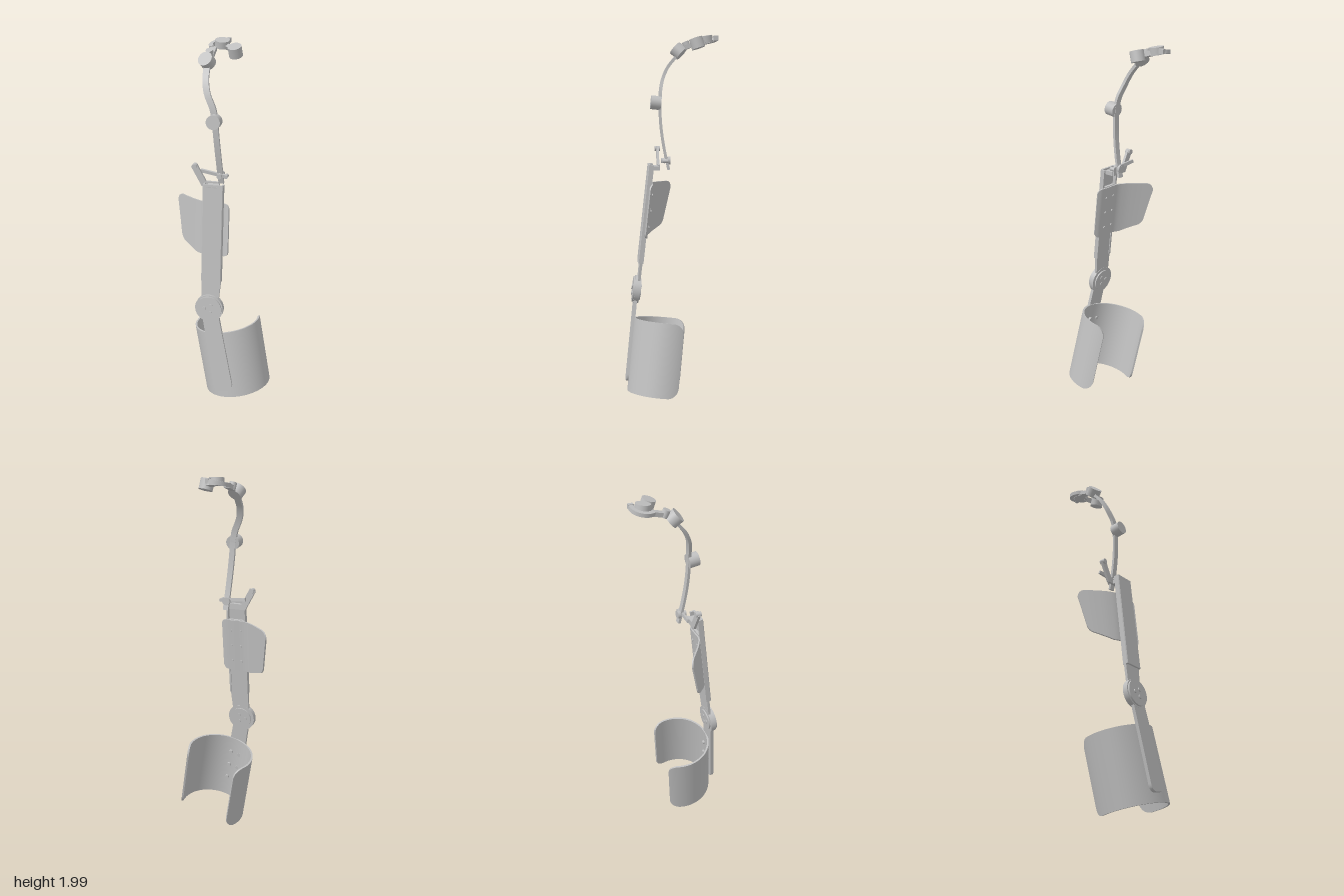
import * as THREE from 'three';

const grey = new THREE.MeshStandardMaterial({ color: 0xbfbfbf });
grey.name = 'light grey';
const V = (x, y, z) => new THREE.Vector3(x, y, z);
const UP = V(0, 1, 0);

function add(parent, name, geo, x = 0, y = 0, z = 0) {
  const m = new THREE.Mesh(geo, grey);
  m.name = name;
  m.position.set(x, y, z);
  parent.add(m);
  return m;
}

// Box bent by a rule: u in 0..1 along it, v and w in -0.5..0.5 across it
function sheet(segs, rule) {
  const g = new THREE.BoxGeometry(1, 1, 1, segs, 1, 1);
  const p = g.attributes.position;
  for (let i = 0; i < p.count; i++) {
    const q = rule(p.getX(i) + 0.5, p.getY(i), p.getZ(i));
    p.setXYZ(i, q.x, q.y, q.z);
  }
  g.computeVertexNormals();
  return g;
}

// Flat bar swept along a curve, its width lying along x
function link(points, width, thick) {
  const c = new THREE.CatmullRomCurve3(points);
  return sheet(20, (u, v, w) => {
    const t = c.getTangentAt(u);
    const side = V(1, 0, 0).addScaledVector(t, -t.x).normalize();
    const n = t.clone().cross(side);
    return c.getPointAt(u).addScaledVector(side, v * width).addScaledVector(n, w * thick);
  });
}

// Round corner: how much an edge draws in at distance d from the end
const inset = (d, r) => (d < r ? r - Math.sqrt(r * r - (r - d) * (r - d)) : 0);

function cylinder(parent, name, r, h, at, axis = UP, sides = 32) {
  const m = add(parent, name, new THREE.CylinderGeometry(r, r, h, sides), at.x, at.y, at.z);
  m.quaternion.setFromUnitVectors(UP, axis.clone().normalize());
  return m;
}

function bar(parent, name, a, b, width, depth) {
  const d = b.clone().sub(a);
  const mid = a.clone().add(b).multiplyScalar(0.5);
  const m = add(parent, name, new THREE.BoxGeometry(width, d.length(), depth), mid.x, mid.y, mid.z);
  m.quaternion.setFromUnitVectors(UP, d.normalize());
  return m;
}

function extrude(shape, depth) {
  return new THREE.ExtrudeGeometry(shape, { depth, bevelEnabled: false, curveSegments: 24 });
}

function buildLower(brace) {
  const lower = new THREE.Group();
  lower.name = 'lowerSection';
  lower.rotation.z = 0.19;
  brace.add(lower);

  // strut with rounded foot
  const s = new THREE.Shape();
  s.moveTo(-0.045, 0).lineTo(-0.053, -0.47);
  s.quadraticCurveTo(-0.053, -0.51, -0.013, -0.51).lineTo(0.013, -0.51);
  s.quadraticCurveTo(0.053, -0.51, 0.053, -0.47).lineTo(0.045, 0);
  add(lower, 'lowerStrut', extrude(s, 0.018), 0, 0, -0.017);

  // open cuff
  const R = 0.181, T = 0.01, H = 0.2, from = -2.27, to = 2.0, r = 0.06;
  const cuff = sheet(72, (u, v, w) => {
    const e = 0.5 - 0.5 * Math.cos(Math.PI * u); // finer steps at the round corners
    const a = from + (to - from) * e;
    const d = R * (to - from) * Math.min(e, 1 - e);
    const rad = R + w * T;
    return V(rad * Math.sin(a), 2 * v * (H - inset(d, r)), rad * Math.cos(a));
  });
  add(lower, 'lowerCuff', cuff, 0.033, -0.358, -0.197);

  // cuff screws
  for (const y of [-0.25, -0.34, -0.43]) {
    for (const x of [-0.025, 0.03]) {
      cylinder(lower, 'cuffScrew', 0.011, 0.012, V(x, y, -0.028), V(0, 0, 1), 12);
    }
  }
}

function buildUpper(brace) {
  // strut sliding in the sleeve
  const s = new THREE.Shape();
  s.moveTo(-0.045, 0).lineTo(-0.048, 0.17).lineTo(-0.038, 0.19).lineTo(-0.038, 0.6);
  s.lineTo(0.052, 0.6).lineTo(0.052, 0.19).lineTo(0.06, 0.17).lineTo(0.045, 0);
  add(brace, 'upperStrut', extrude(s, 0.014), 0, 0, -0.025);

  // channel sleeve, open at the back
  const c = new THREE.Shape();
  [[-0.048, 0.004], [-0.044, 0], [0.058, 0], [0.062, 0.004], [0.062, 0.03], [0.052, 0.03],
    [0.052, 0.01], [-0.038, 0.01], [-0.038, 0.03], [-0.048, 0.03]]
    .forEach(([x, y], i) => (i ? c.lineTo(x, y) : c.moveTo(x, y)));
  add(brace, 'sleeve', extrude(c, 0.545).rotateX(-Math.PI / 2), 0, 0.16, 0);

  // bent side plate
  const path = new THREE.CatmullRomCurve3([V(-0.22, 0, -0.155), V(-0.15, 0, -0.098),
    V(-0.09, 0, -0.056), V(-0.045, 0, -0.036), V(0.03, 0, -0.034), V(0.07, 0, -0.03), V(0.093, 0, -0.02)]);
  const L = path.getLength();
  const plate = sheet(60, (u, v, w) => {
    const e = 0.5 - 0.5 * Math.cos(Math.PI * u);
    const cut = Math.max(inset(e * L, 0.04), inset((1 - e) * L, 0.03));
    const top = 0.6 - cut;
    const bottom = 0.305 + 0.05 * Math.max(0, 1 - e * 2) + cut;
    const slant = v < 0 ? 0.1 * Math.max(0, 1 - e * 2) : 0;
    const k = Math.min(1, e + slant);
    const n = path.getTangentAt(k).cross(UP);
    return path.getPointAt(k).addScaledVector(n, w * 0.008).setY(v > 0 ? top : bottom);
  });
  add(brace, 'sidePlate', plate);
  for (const y of [0.36, 0.45, 0.54]) {
    for (const x of [-0.02, 0.035]) {
      cylinder(brace, 'plateScrew', 0.007, 0.008, V(x, y, -0.039), V(0, 0, 1), 12);
    }
  }
}

function buildJoint(brace) {
  const z = V(0, 0, 1);
  cylinder(brace, 'jointDisc', 0.078, 0.028, V(0, 0, -0.012), z, 48);
  cylinder(brace, 'jointFrontCap', 0.071, 0.01, V(0, 0, 0.006), z, 48);
  cylinder(brace, 'jointBackCap', 0.06, 0.008, V(0, 0, -0.029), z, 48);
  for (let i = 0; i < 3; i++) {
    const a = 1 + (i * 2 * Math.PI) / 3;
    cylinder(brace, 'jointScrew', 0.011, 0.054, V(0.024 * Math.cos(a), 0.024 * Math.sin(a), -0.01), z, 12);
  }
}

function buildBracket(root) {
  const g = new THREE.Group();
  g.name = 'topBracket';
  root.add(g);
  add(g, 'bracketArm', new THREE.BoxGeometry(0.06, 0.022, 0.06), -0.05, 1.288, 0.095);
  add(g, 'bracketFoot', new THREE.BoxGeometry(0.09, 0.03, 0.012), -0.07, 1.292, 0.065);
  bar(g, 'slantBar', V(-0.158, 1.39, 0.065), V(-0.102, 1.285, 0.065), 0.034, 0.014);
  cylinder(g, 'slantBarPin', 0.014, 0.03, V(-0.155, 1.385, 0.065), V(0, 0, 1), 16);
  bar(g, 'crossBar', V(-0.135, 1.345, 0.02), V(0.013, 1.328, 0.035), 0.018, 0.012);
  cylinder(g, 'crossBarPin', 0.014, 0.05, V(-0.028, 1.33, 0.028), V(0, 0, 1), 20);
  cylinder(g, 'crossBarKnob', 0.022, 0.013, V(-0.028, 1.33, 0.01), V(0, 0, 1), 20);
  cylinder(g, 'crossBarEnd', 0.01, 0.03, V(0.008, 1.33, 0.035), V(0, 0, 1), 16);
}

function buildArm(root) {
  const g = new THREE.Group();
  g.name = 'linkedArm';
  root.add(g);
  // two curved links with a hinge between
  add(g, 'firstLink', link([V(-0.025, 1.28, 0.012), V(-0.029, 1.38, 0.034),
    V(-0.036, 1.5, 0.052), V(-0.043, 1.6, 0.058), V(-0.045, 1.65, 0.058)], 0.03, 0.014));
  cylinder(g, 'hinge', 0.037, 0.055, V(-0.045, 1.64, 0.08), V(0, 0.12, 1));
  add(g, 'secondLink', link([V(-0.045, 1.64, 0.058), V(-0.058, 1.7, 0.054), V(-0.09, 1.77, 0.038),
    V(-0.105, 1.83, 0.01), V(-0.11, 1.885, -0.035)], 0.032, 0.016));

  // wrist drum and knuckle
  cylinder(g, 'wristDrum', 0.039, 0.05, V(-0.113, 1.915, -0.048), V(-0.25, 0.65, 0.7));
  cylinder(g, 'knuckle', 0.019, 0.04, V(-0.108, 1.945, -0.092), V(-0.1, 1, 0.4), 20);
  bar(g, 'wristLink', V(-0.103, 1.935, -0.085), V(-0.105, 1.955, -0.155), 0.034, 0.022);

  // curved yoke round the end disc
  const s = new THREE.Shape();
  const a0 = 1.2, a1 = 3.85;
  s.absarc(0, 0, 0.069, a0, a1, false);
  s.absarc(0, 0, 0.046, a1, a0, true);
  const yoke = add(g, 'yoke', extrude(s, 0.02).rotateX(-Math.PI / 2), -0.067, 1.96, -0.19);
  yoke.rotation.set(0.14, 0, 0.15);
  add(g, 'yokeEnd', new THREE.BoxGeometry(0.02, 0.024, 0.026), -0.045, 1.981, -0.242);
  bar(g, 'yokePin', V(-0.048, 1.978, -0.245), V(-0.06, 1.972, -0.2), 0.012, 0.012);

  // end disc and handle drum
  cylinder(g, 'endDisc', 0.038, 0.038, V(-0.067, 1.975, -0.19), V(0.05, 1, 0.15));
  bar(g, 'handleLink', V(-0.05, 1.965, -0.18), V(0.01, 1.955, -0.145), 0.026, 0.022);
  cylinder(g, 'handleDrum', 0.036, 0.055, V(0.014, 1.952, -0.135), V(-0.1, 1, 0.32));
}

export function createModel() {
  const root = new THREE.Group();
  root.name = 'armBrace';
  const brace = new THREE.Group();
  brace.name = 'brace';
  brace.position.set(-0.05, 0.61, 0.202);
  brace.rotation.x = -0.112;
  root.add(brace);
  buildLower(brace);
  buildUpper(brace);
  buildJoint(brace);
  buildBracket(root);
  buildArm(root);
  return root;
}
